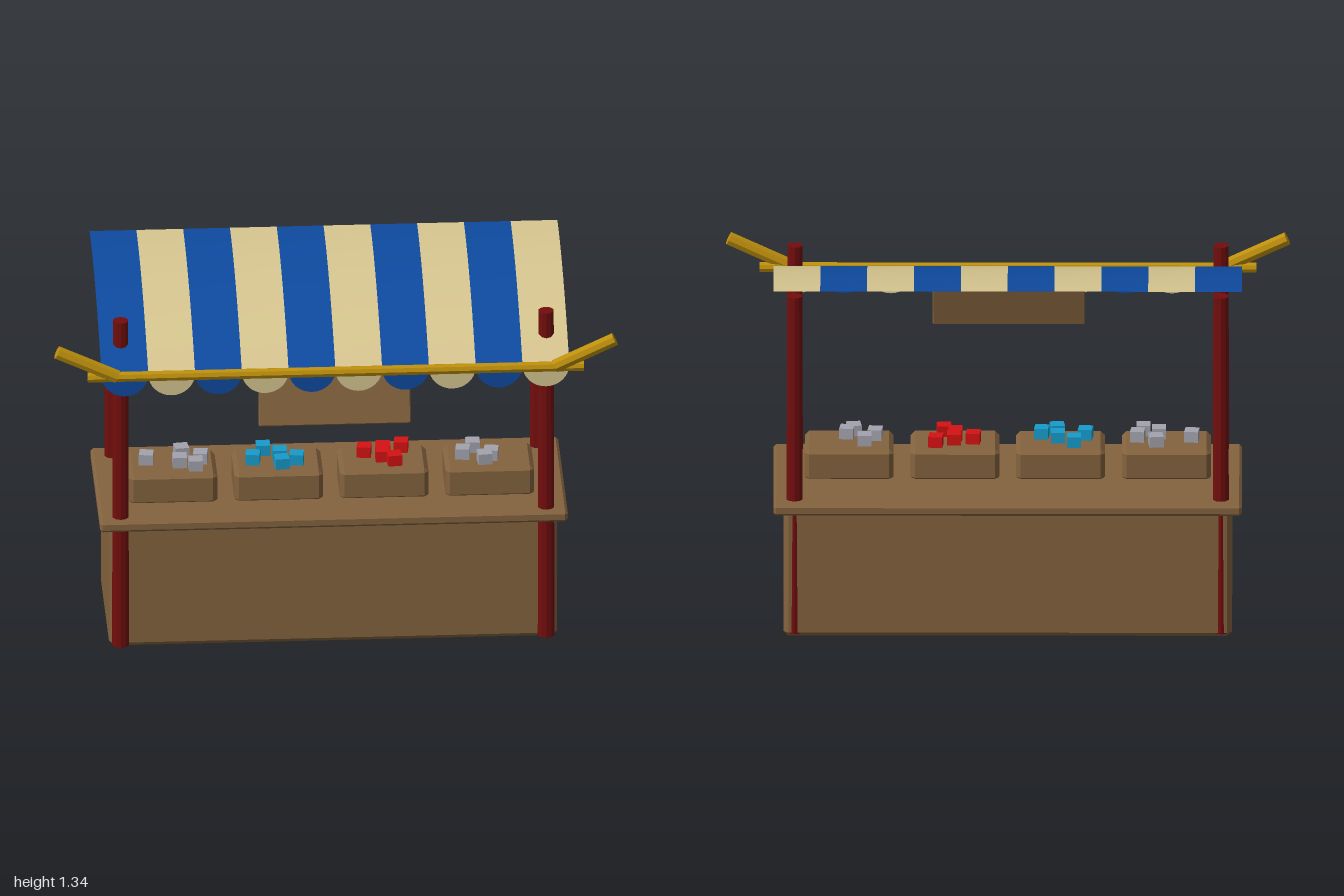
import * as THREE from 'three';
import { ConvexGeometry } from 'three/addons/geometries/ConvexGeometry.js';

const material = (name, color, extra = {}) => {
  const m = new THREE.MeshStandardMaterial({ color, flatShading: true, ...extra });
  m.name = name;
  return m;
};

// Box with chamfered edges
function chamferBox(w, h, d, b) {
  const [x, y, z] = [w / 2, h / 2, d / 2];
  const pts = [];
  for (const sx of [-1, 1]) for (const sy of [-1, 1]) for (const sz of [-1, 1]) {
    pts.push(new THREE.Vector3(sx * x, sy * (y - b), sz * (z - b)));
    pts.push(new THREE.Vector3(sx * (x - b), sy * y, sz * (z - b)));
    pts.push(new THREE.Vector3(sx * (x - b), sy * (y - b), sz * z));
  }
  return new ConvexGeometry(pts);
}

export function createModel() {
  const group = new THREE.Group();
  const wood = material('wood', 0x84633e);
  const postRed = material('post red', 0x730d0d);
  const gold = material('gold', 0xbd8f0c);
  const blue = material('cloth blue', 0x0e4a9f, { side: THREE.DoubleSide, flatShading: false });
  const cream = material('cloth cream', 0xd6c58f, { side: THREE.DoubleSide, flatShading: false });
  const grey = material('goods grey', 0xa3a3ae);
  const cyan = material('goods cyan', 0x179bcb);
  const red = material('goods red', 0xd41212);

  const add = (name, geometry, mat, x = 0, y = 0, z = 0) => {
    const mesh = new THREE.Mesh(geometry, mat);
    mesh.name = name;
    mesh.position.set(x, y, z);
    group.add(mesh);
    return mesh;
  };

  // Counter body and top
  add('counterBody', chamferBox(1.59, 0.48, 0.535, 0.018), wood, 0, 0.242, -0.06);
  add('counterTop', chamferBox(1.66, 0.042, 0.63, 0.01), wood, 0, 0.496, -0.055);

  // Four corner posts
  for (const x of [-0.755, 0.755]) for (const z of [0.21, -0.3]) {
    add('post', new THREE.CylinderGeometry(0.028, 0.031, 1.27, 10), postRed, x, 0.65, z);
  }

  // Crates with loose goods: [x, z] of each piece
  const crates = [
    [-0.562, grey, [[-0.652, 0], [-0.535, 0.03], [-0.525, -0.05], [-0.46, 0], [-0.48, 0.06]]],
    [-0.187, cyan, [[-0.275, 0.02], [-0.235, -0.055], [-0.175, 0.06], [-0.12, 0.03], [-0.178, -0.01]]],
    [0.187, red, [[0.122, -0.02], [0.19, -0.03], [0.225, 0.055], [0.255, -0.055], [0.185, 0.02]]],
    [0.562, grey, [[0.47, 0.015], [0.508, -0.04], [0.545, 0.06], [0.57, 0.03]]],
  ];
  crates.forEach(([x, mat, goods]) => {
    add('crate', chamferBox(0.315, 0.12, 0.215, 0.016), wood, x, 0.566, 0.002);
    goods.forEach(([gx, gz], i) => {
      const piece = add('goods', new THREE.BoxGeometry(0.05, 0.042, 0.05), mat, gx, 0.645, gz);
      piece.rotation.y = (i % 3 - 1) * 0.12;
    });
  });

  // Curved awning in stripes, each ending in a scallop
  const stripes = 10, width = 1.66 / stripes, front = 0.346, depth = 0.758;
  for (let i = 0; i < stripes; i++) {
    const x = -0.83 + (i + 0.5) * width;
    const mat = i % 2 ? cream : blue;
    const cloth = new THREE.PlaneGeometry(width, depth, 1, 10).rotateX(-Math.PI / 2);
    const p = cloth.attributes.position;
    for (let k = 0; k < p.count; k++) {
      const t = depth / 2 - p.getZ(k);
      p.setXYZ(k, p.getX(k), 1.133 + 0.55 * t - 0.36 * t * t, front - t);
    }
    cloth.computeVertexNormals();
    add('awningStripe', cloth, mat, x);
    add('scallop', new THREE.CircleGeometry(width / 2, 16, Math.PI, Math.PI), mat, x, 1.134, front);
  }

  // Front pole and angled end arms
  add('frontPole', new THREE.CylinderGeometry(0.019, 0.019, 1.76, 8).rotateZ(Math.PI / 2), gold, 0, 1.14, 0.371);
  for (const s of [-1, 1]) {
    const arm = add('poleArm', new THREE.CylinderGeometry(0.025, 0.025, 0.235, 8), gold, s * 0.883, 1.196, 0.381);
    arm.rotation.z = -s * 1.13;
  }

  // Hanging sign board
  const sign = add('signBoard', chamferBox(0.54, 0.18, 0.015, 0.004), wood, -0.003, 1.017, 0.344);
  sign.rotation.x = -0.235;

  return group;
}
